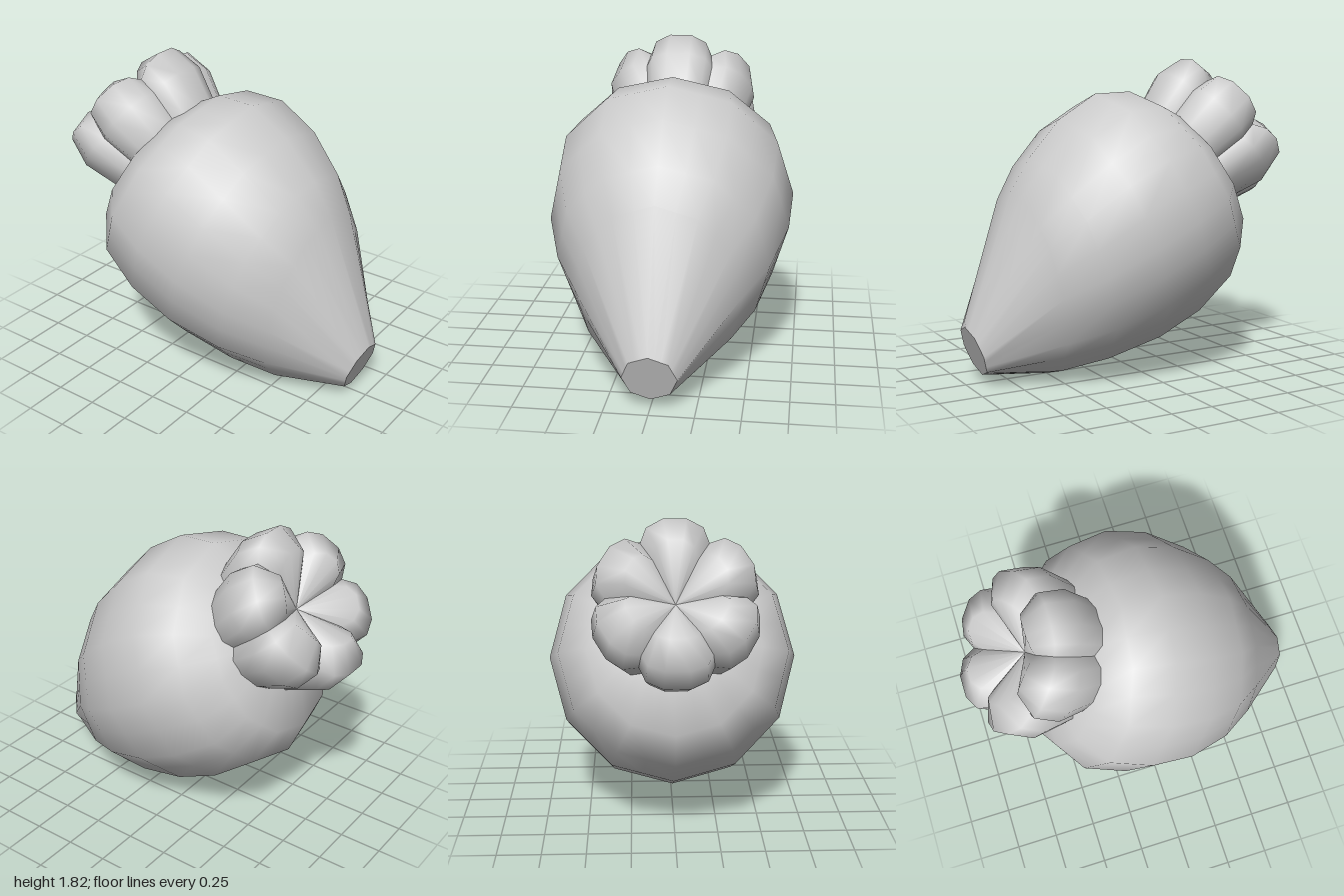
import * as THREE from 'three';

const material = new THREE.MeshStandardMaterial({ color: 0xcccccc });

// Smooth skin through cross-sections, each an array of [x, y, z]
function loft(name, rings, closed) {
  const n = rings[0].length;
  const index = [];
  for (let i = 0; i < rings.length - 1; i++) {
    for (let j = 0; j < (closed ? n : n - 1); j++) {
      const k = (j + 1) % n;
      const a = i * n + j, b = i * n + k, c = a + n, d = b + n;
      index.push(a, b, c, b, d, c);
    }
  }
  const geometry = new THREE.BufferGeometry();
  geometry.setAttribute('position', new THREE.Float32BufferAttribute(rings.flat(2), 3));
  geometry.setIndex(index);
  geometry.computeVertexNormals();
  const mesh = new THREE.Mesh(geometry, material);
  mesh.name = name;
  return mesh;
}

// Tilted polygon ring spanning an upper and a lower point of the side profile
function bodyRing([zTop, yTop, zLow, yLow, halfWidth, sides = 12]) {
  const points = [];
  const step = (Math.PI * 2) / sides;
  const segments = 24;
  for (let j = 0; j < segments; j++) {
    const a = (j / segments) * Math.PI * 2;
    // pull points between the polygon's corners onto its straight edges
    const f = Math.cos(step / 2) / Math.cos(((a + 1e-6) % step) - step / 2);
    const c = Math.cos(a) * f;
    points.push([
      Math.sin(a) * f * halfWidth,
      (yTop + yLow) / 2 + (c * (yTop - yLow)) / 2,
      (zTop + zLow) / 2 + (c * (zTop - zLow)) / 2,
    ]);
  }
  return points;
}

export function createModel() {
  const model = new THREE.Group();

  // Root body: upper z, y, lower z, y, half width, polygon sides
  const rings = [
    [1.0, 0.34, 0.9, 0.05, 0.153, 8],
    [0.71, 1.09, 0.5, 0.005, 0.47],
    [0.59, 1.28, 0.22, 0.05, 0.61],
    [0.4, 1.49, -0.1, 0.14, 0.705],
    [0.17, 1.63, -0.37, 0.27, 0.72],
    [-0.06, 1.64, -0.61, 0.46, 0.655],
    [-0.24, 1.55, -0.71, 0.68, 0.49],
    [-0.4, 1.4, -0.66, 1.0, 0.25],
    [-0.53, 1.2, -0.53, 1.2, 0],
  ].map(bodyRing);
  model.add(loft('body', rings, true));

  // Flat end of the tip
  const tipCentre = rings[0].map(() => [0, 0.195, 0.95]);
  model.add(loft('tipCap', [tipCentre, rings[0]], true));

  // Crown of six rounded lobes around a sunken middle
  const crown = new THREE.Group();
  crown.name = 'crown';
  crown.position.set(0, 1.25, -0.44);
  crown.rotation.x = -0.89;

  // Lobe outline: sideways, outward; the ends meet the neighbouring lobes
  const outline = [[-0.2, 0.346], [-0.165, 0.425], [-0.07, 0.47], [0.07, 0.47], [0.165, 0.425], [0.2, 0.346]];
  // Lobe levels: height, scale, drop at the clefts
  const levels = [
    [-0.15, 0.75, 0], [0.014, 0.875, 0], [0.2, 1, 0], [0.375, 0.935, 0.06],
    [0.43, 0.6, 0.09], [0.23, 0, 0],
  ];
  const lobeRings = levels.map(([y, scale, drop]) => outline.map(([x, z], j) => {
    const edge = [1, 0.35, 0, 0, 0.35, 1][j];
    return [x * scale, y - drop * edge, z * scale];
  }));
  for (let k = 0; k < 6; k++) {
    const lobe = loft('crownLobe', lobeRings, false);
    lobe.rotation.y = (k * Math.PI) / 3;
    crown.add(lobe);
  }
  model.add(crown);
  return model;
}
